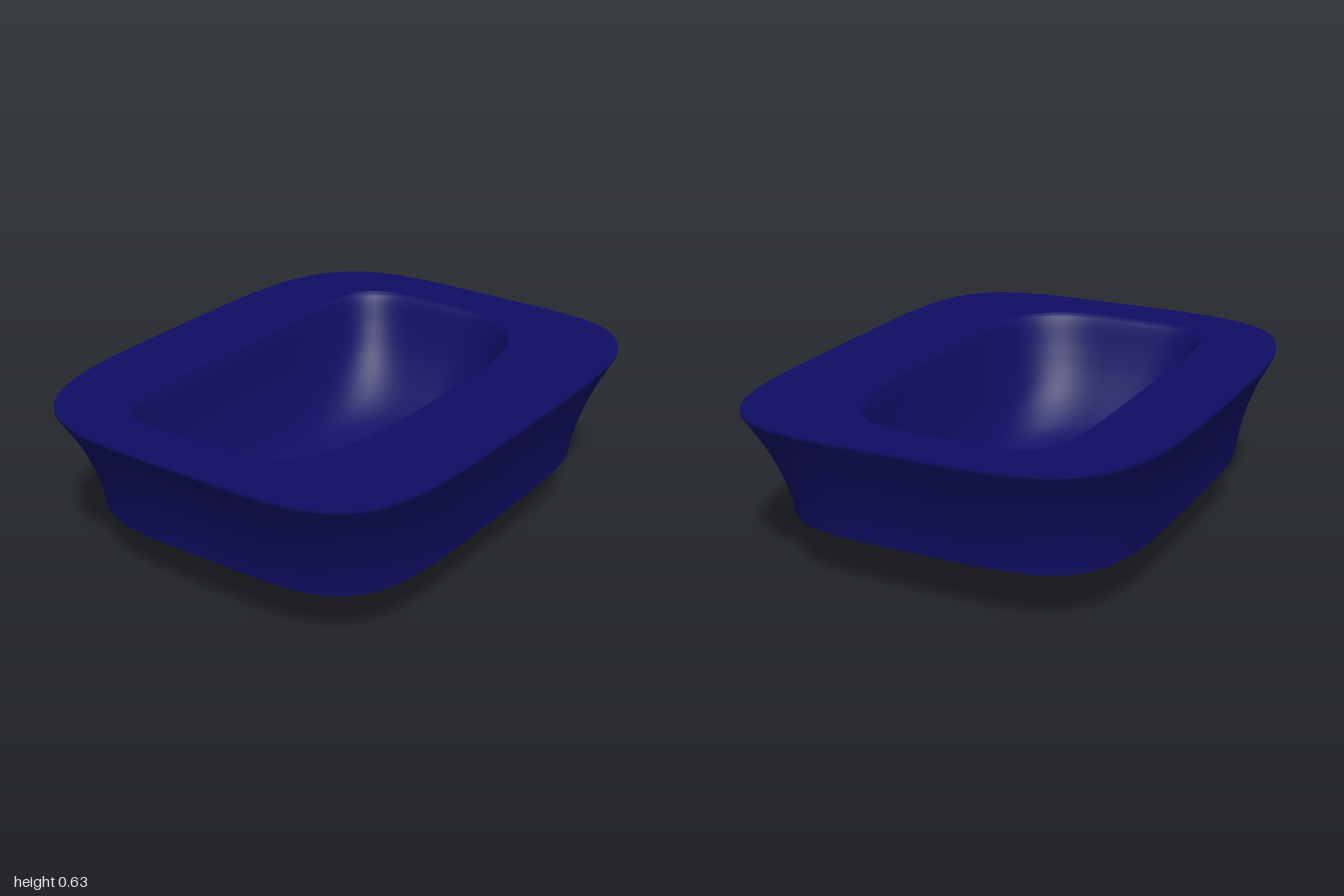
import * as THREE from 'three';

const SEGMENTS = 128;

// Skin a stack of rounded-rectangle rings, smoothed along the stations.
// Station: [y, half width, half depth, centre z, back squareness, front squareness]
function loftRings(stations, steps, inward) {
  const size = new THREE.CatmullRomCurve3(stations.map(s => new THREE.Vector3(s[1], s[0], s[2])));
  const form = new THREE.CatmullRomCurve3(stations.map(s => new THREE.Vector3(s[3], s[4], s[5])));
  // With only two stations the skin is straight
  const at = (curve, t) => stations.length > 2
    ? curve.getPoint(t)
    : curve.points[0].clone().lerp(curve.points[1], t);
  const positions = [], index = [];
  for (let i = 0; i <= steps; i++) {
    const s = at(size, i / steps), f = at(form, i / steps);
    for (let j = 0; j < SEGMENTS; j++) {
      const a = (j / SEGMENTS) * Math.PI * 2;
      const c = Math.cos(a), d = Math.sin(a);
      const n = d < 0 ? f.y : f.z;
      const r = Math.pow(Math.abs(c) ** n + Math.abs(d) ** n, -1 / n);
      positions.push(s.x * c * r, s.y, f.x + s.z * d * r);
      if (i === steps) continue;
      const k = (j + 1) % SEGMENTS;
      const p = i * SEGMENTS + j, q = i * SEGMENTS + k;
      const u = p + SEGMENTS, v = q + SEGMENTS;
      if (inward) index.push(p, u, q, q, u, v);
      else index.push(p, q, u, q, v, u);
    }
  }
  const geometry = new THREE.BufferGeometry();
  geometry.setAttribute('position', new THREE.Float32BufferAttribute(positions, 3));
  geometry.setIndex(index);
  geometry.computeVertexNormals();
  return geometry;
}

export function createModel() {
  const group = new THREE.Group();
  const navy = new THREE.MeshStandardMaterial({ color: 0x0f0e64, side: THREE.DoubleSide });
  navy.name = 'navy glaze';

  const add = (name, stations, steps, inward) => {
    const mesh = new THREE.Mesh(loftRings(stations, steps, inward), navy);
    mesh.name = name;
    group.add(mesh);
  };

  // Flared outer wall, open underneath
  add('skirt', [
    [0.62, 1.0, 0.8, 0, 4, 4.7],
    [0.5, 0.932, 0.745, 0, 4, 4.7],
    [0.4, 0.888, 0.71, 0, 4.1, 4.7],
    [0.3, 0.855, 0.687, 0, 4.2, 4.6],
    [0.21, 0.837, 0.673, 0, 4.3, 4.6],
  ], 20, false);

  // Thin upright edge around the rim
  add('rimEdge', [
    [0.63, 1.0, 0.8, 0, 4, 4.7],
    [0.62, 1.0, 0.8, 0, 4, 4.7],
  ], 1, false);

  // Flat top
  add('rim', [
    [0.63, 1.0, 0.8, 0, 4, 4.7],
    [0.63, 0.795, 0.452, -0.03, 6, 3.3],
  ], 4, true);

  // Bowl, wider at the rim and dished towards the drain
  add('bowl', [
    [0.63, 0.795, 0.452, -0.03, 6, 3.3],
    [0.615, 0.778, 0.44, -0.03, 6, 3.3],
    [0.5, 0.735, 0.412, -0.03, 5.5, 3.2],
    [0.4, 0.69, 0.388, -0.03, 5, 3.1],
    [0.3, 0.62, 0.357, -0.025, 4.2, 3],
    [0.21, 0.515, 0.308, -0.02, 3.5, 2.8],
    [0.15, 0.375, 0.23, -0.012, 3.2, 2.9],
    [0.12, 0.26, 0.155, -0.007, 3.8, 3.6],
    [0.105, 0.195, 0.098, -0.005, 4.5, 4.5],
  ], 48, true);

  // Drain stub and its closed floor
  add('drainWall', [
    [0.105, 0.195, 0.098, -0.005, 4.5, 4.5],
    [0.006, 0.195, 0.098, -0.005, 4.5, 4.5],
  ], 2, false);
  add('drainFloor', [
    [0.006, 0.195, 0.098, -0.005, 4.5, 4.5],
    [0, 0.189, 0.092, -0.005, 4.5, 4.5],
    [0, 0.001, 0.001, -0.005, 4.5, 4.5],
  ], 2, false);

  return group;
}
